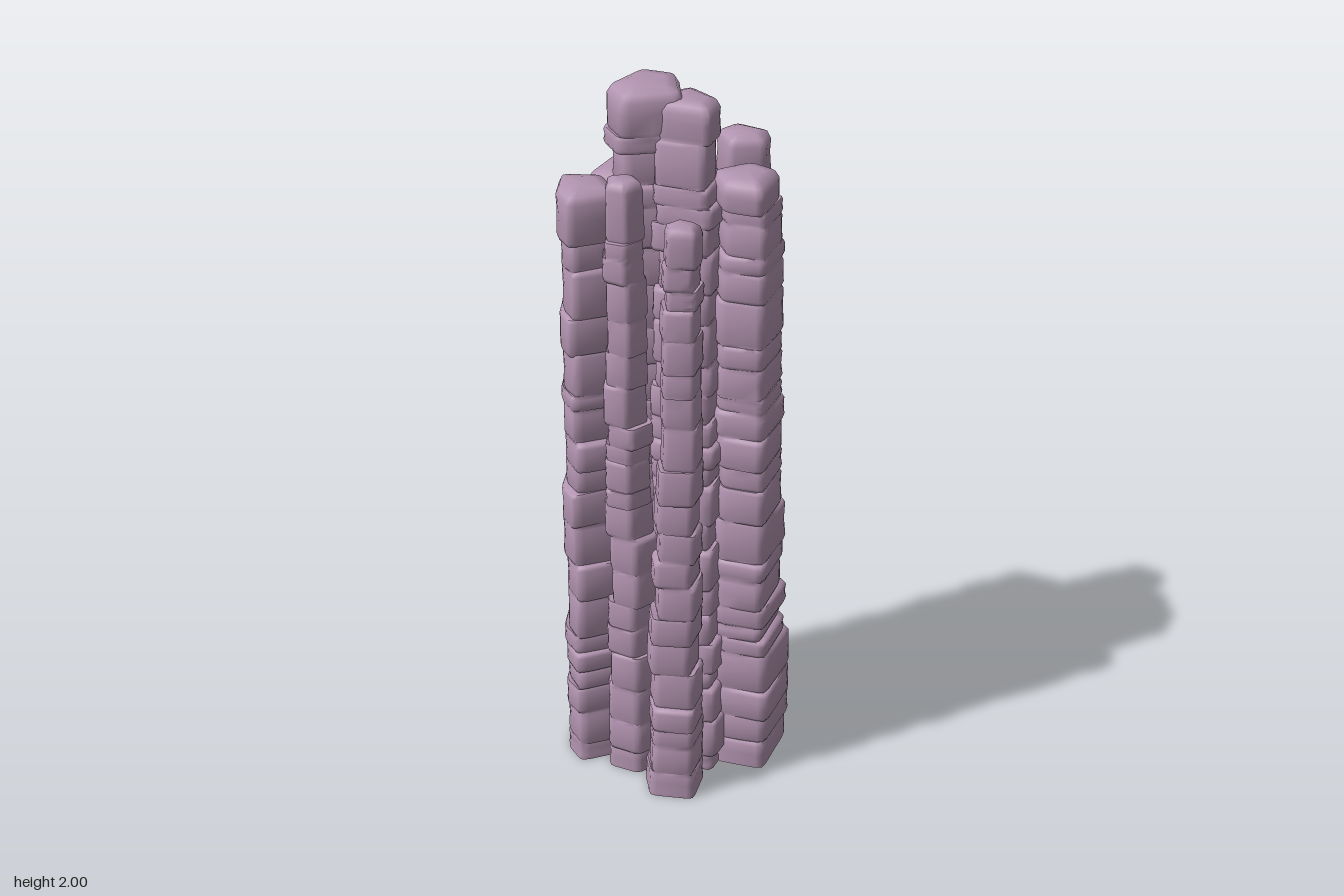
import * as THREE from 'three';
import { toCreasedNormals } from 'three/addons/utils/BufferGeometryUtils.js';

// Small seeded random source
function seeded(seed) {
  let s = seed;
  return () => {
    s = (s * 16807) % 2147483647;
    return s / 2147483647;
  };
}

// Five-sided columns: base corners (x, z), top centre, taper, and how far the shaft narrows under the cap
const COLUMNS = [
  { name: 'mainPillar', height: 2, base: [-0.06, -0.165, 0.04, -0.1, 0.02, 0.05, -0.15, 0.04, -0.18, -0.07], top: [-0.072, -0.052], taper: 0.93, neck: 0.86 },
  { name: 'mainPillarFront', height: 1.975, base: [0.05, -0.08, 0.14, 0.09, 0.065, 0.205, -0.11, 0.09, -0.08, -0.03], top: [0.022, 0.012], taper: 0.68, neck: 1 },
  { name: 'backPillar', height: 1.73, base: [-0.118, -0.305, 0.025, -0.195, -0.03, -0.06, -0.16, -0.05, -0.232, -0.145], top: [-0.1, -0.155], taper: 0.82, neck: 1 },
  { name: 'rightPillar', height: 1.75, base: [-0.28, -0.13, -0.15, -0.1, -0.13, 0.05, -0.295, 0.078, -0.318, -0.005], top: [-0.24, -0.012], taper: 0.88, neck: 1 },
  { name: 'smallFrontPillar', height: 1.79, base: [-0.19, 0, -0.07, 0.01, -0.05, 0.12, -0.14, 0.168, -0.215, 0.11], top: [-0.161, 0.075], taper: 0.6, neck: 1 },
  { name: 'frontPillar', height: 1.73, base: [-0.06, 0.125, 0.037, 0.2, -0.02, 0.305, -0.135, 0.265, -0.13, 0.165], top: [-0.035, 0.243], taper: 0.6, neck: 1 },
  { name: 'leftFrontPillar', height: 1.78, base: [0.24, -0.045, 0.322, 0.045, 0.21, 0.212, 0.08, 0.14, 0.07, 0], top: [0.172, 0.065], taper: 0.72, neck: 1 },
  { name: 'leftBackPillar', height: 1.81, base: [0.19, -0.268, 0.318, -0.15, 0.262, -0.035, 0.11, -0.05, 0.085, -0.2], top: [0.212, -0.145], taper: 0.6, neck: 1 },
  { name: 'smallBackPillar', height: 1.79, base: [0.05, -0.215, 0.12, -0.17, 0.14, -0.03, 0, -0.05, -0.01, -0.17], top: [0.042, -0.13], taper: 0.65, neck: 1 },
];

// Pentagon about its centre with softened corners, four points per side
function outline(base) {
  const corners = [], centre = new THREE.Vector2();
  for (let i = 0; i < 10; i += 2) {
    corners.push(new THREE.Vector2(base[i], base[i + 1]));
    centre.addScaledVector(corners[i / 2], 0.2);
  }
  corners.forEach((p) => p.sub(centre));
  const points = corners.flatMap((p, i) => {
    const next = corners[(i + 1) % 5], prev = corners[(i + 4) % 5];
    return [p.clone().lerp(prev, 0.16), p.clone().multiplyScalar(0.95),
      p.clone().lerp(next, 0.16), p.clone().lerp(next, 0.5)];
  });
  return { centre, points };
}

// Loft of stacked slabs, each slightly shifted, scaled and tilted
function columnGeometry({ height, base, top, taper, neck }, seed) {
  const rand = seeded(seed);
  const vary = (amount) => (rand() * 2 - 1) * amount;
  const { centre, points } = outline(base), N = points.length;
  const positions = [], index = [];
  let rings = 0;

  function addRing(y, scale, slab) {
    const t = y / height;
    const x = THREE.MathUtils.lerp(centre.x, top[0], t) + slab.dx;
    const z = THREE.MathUtils.lerp(centre.y, top[1], t) + slab.dz;
    const size = scale * slab.size * THREE.MathUtils.lerp(1, taper, t);
    const level = y === 0 || y === height;
    points.forEach((p, i) => {
      const a = (i / N) * Math.PI * 2 + slab.phase;
      const k = size * (1 + 0.03 * Math.sin(2 * a));
      positions.push(x + p.x * k, y + (level ? 0 : slab.tilt * Math.sin(a)), z + p.y * k);
    });
    rings++;
  }

  let y = 0;
  while (y < height) {
    let y1 = y + 0.04 + rand() * 0.09;
    if (y1 > height - 0.06) y1 = height;
    const last = y1 === height;
    const slab = {
      size: (y > height - 0.17 ? 1 : neck) * (0.98 + vary(0.05)),
      dx: vary(0.007), dz: vary(0.007), tilt: vary(0.006), phase: rand() * 6.28,
    };
    addRing(y, y === 0 ? 1 : 0.95, slab);
    addRing(y + 0.01, 1, slab);
    addRing((y + y1) / 2, 0.985 + vary(0.025), slab);
    addRing(y1 - (last ? 0.026 : 0.01), 1, slab);
    addRing(last ? y1 - 0.008 : y1, last ? 0.88 : 0.95, slab);
    if (last) addRing(y1, 0.55, slab);
    y = y1;
  }

  for (let r = 0; r < rings - 1; r++) {
    for (let i = 0; i < N; i++) {
      const a = r * N + i, b = r * N + (i + 1) % N;
      index.push(a, a + N, b, b, a + N, b + N);
    }
  }
  // Flat foot and crown
  const foot = rings * N, lastRing = foot - N;
  positions.push(centre.x, 0, centre.y, top[0], height, top[1]);
  for (let i = 0; i < N; i++) {
    const j = (i + 1) % N;
    index.push(foot, i, j, foot + 1, lastRing + j, lastRing + i);
  }

  const geometry = new THREE.BufferGeometry();
  geometry.setAttribute('position', new THREE.Float32BufferAttribute(positions, 3));
  geometry.setIndex(index);
  return toCreasedNormals(geometry, 1.2);
}

export function createModel() {
  const group = new THREE.Group();
  group.name = 'rockColumns';
  const rock = new THREE.MeshStandardMaterial({ color: 0xb294b0 });
  COLUMNS.forEach((column, i) => {
    const mesh = new THREE.Mesh(columnGeometry(column, 7919 * (i + 1)), rock);
    mesh.name = column.name;
    group.add(mesh);
  });
  return group;
}
